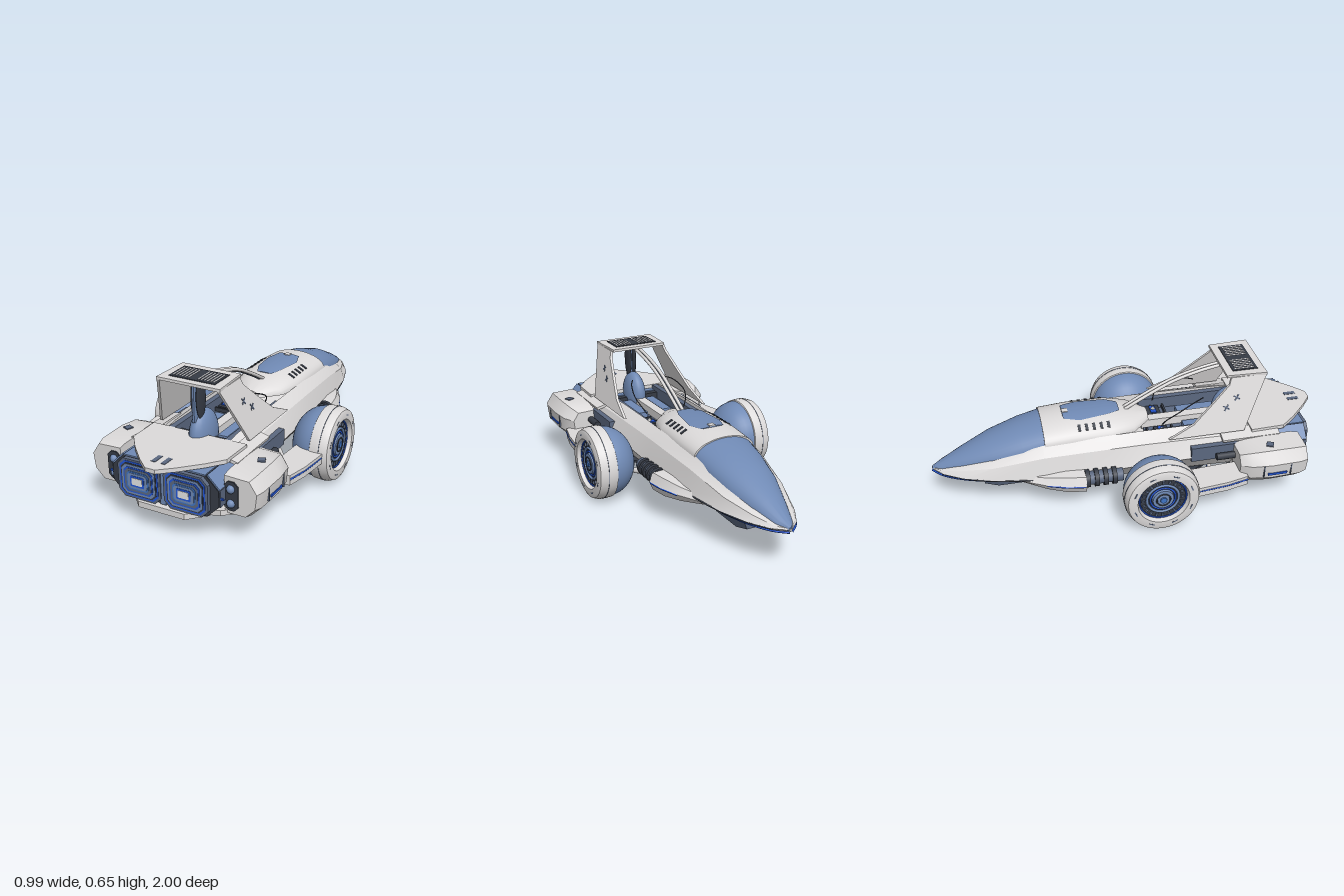
import * as THREE from 'three';
import { toCreasedNormals } from 'three/addons/utils/BufferGeometryUtils.js';

const mat = (name, color) => {
  const m = new THREE.MeshStandardMaterial({ color });
  m.name = name;
  return m;
};
const V = (x, y, z) => new THREE.Vector3(x, y, z);

// Skin a row of closed counter-clockwise [x, y] loops, ordered by rising z
function loft(rows, crease = 0.5) {
  const n = rows[0].pts.length, pos = [], idx = [];
  rows.forEach(r => r.pts.forEach(p => pos.push(p[0], p[1], r.z)));
  for (let i = 0; i < rows.length - 1; i++) for (let j = 0; j < n; j++) {
    const a = i * n + j, b = i * n + (j + 1) % n;
    idx.push(a, b, a + n, b, b + n, a + n);
  }
  const cap = (i, flip) => THREE.ShapeUtils.triangulateShape(rows[i].pts.map(p => new THREE.Vector2(...p)), [])
    .forEach(([a, b, c]) => idx.push(i * n + a, i * n + (flip ? c : b), i * n + (flip ? b : c)));
  cap(0, true);
  cap(rows.length - 1, false);
  const g = new THREE.BufferGeometry();
  g.setAttribute('position', new THREE.Float32BufferAttribute(pos, 3));
  g.setIndex(idx);
  return toCreasedNormals(g, crease);
}
const symmetric = half => [...half, ...half.slice().reverse().map(([x, y]) => [-x, y])];
// Elliptical arch, optionally only its crown of half width hw
function arch(w, base, top, hw = w, n = 20) {
  const a0 = Math.acos(hw / w);
  return Array.from({ length: n + 1 }, (_, i) => {
    const a = a0 + (Math.PI - 2 * a0) * i / n;
    return [w * Math.cos(a), base + (top - base) * Math.sin(a)];
  });
}
const extrude = (shape, depth) => new THREE.ExtrudeGeometry(shape, { depth, bevelEnabled: false, curveSegments: 12 });
const poly = pts => new THREE.Shape(pts.map(p => new THREE.Vector2(...p)));
// Horizontal plate from an [x, z] outline
const plate = (pts, y, h) => extrude(poly(pts.map(([x, z]) => [x, -z])), h).rotateX(-Math.PI / 2).translate(0, y, 0);
const octagon = (w, h, c) => [[-w + c, -h], [w - c, -h], [w, -h + c], [w, h - c], [w - c, h], [-w + c, h], [-w, h - c], [-w, -h + c]];
const tube = (pts, r, seg = 20) => new THREE.TubeGeometry(new THREE.CatmullRomCurve3(pts), seg, r, 8);
const box = (w, h, d, x, y, z) => new THREE.BoxGeometry(w, h, d).translate(x, y, z);
function mirrored(geo) {
  const g = geo.index ? geo.toNonIndexed() : geo.clone();
  for (const key of ['position', 'normal']) {
    const a = g.attributes[key];
    for (let i = 0; i < a.count; i += 3) {
      const v = [0, 2, 1].map(k => [-a.getX(i + k), a.getY(i + k), a.getZ(i + k)]);
      v.forEach((p, k) => a.setXYZ(i + k, ...p));
    }
  }
  return g;
}

export function createModel() {
  const group = new THREE.Group();
  const white = mat('hullGrey', 0xdddbdb), steel = mat('steelBlue', 0x708ab5), dark = mat('charcoal', 0x363b45);
  const blue = mat('brightBlue', 0x2457d6), slate = mat('slate', 0x5b6880), mid = mat('midBlue', 0x3f74c4), pale = mat('paleLight', 0xf0f0f0);
  const add = (name, geo, m) => {
    const mesh = new THREE.Mesh(geo, m);
    mesh.name = name;
    group.add(mesh);
  };
  const pair = (name, geo, m) => { add(name + 'Left', geo, m); add(name + 'Right', mirrored(geo), m); };

  // Hull: z, bottom width, bottom y, waist width, waist y, rim width, rim y, floor y
  const hull = [
    [-1, 0.003, 0.192, 0.006, 0.2, 0.003, 0.206, 0.204], [-0.95, 0.03, 0.178, 0.065, 0.2, 0.035, 0.215, 0.212],
    [-0.85, 0.07, 0.158, 0.125, 0.2, 0.07, 0.245, 0.24], [-0.7, 0.1, 0.142, 0.178, 0.2, 0.122, 0.288, 0.28],
    [-0.45, 0.13, 0.127, 0.225, 0.205, 0.157, 0.362, 0.355], [-0.1, 0.16, 0.117, 0.25, 0.225, 0.165, 0.378, 0.37],
    [0.05, 0.16, 0.115, 0.262, 0.24, 0.165, 0.38, 0.28], [0.3, 0.17, 0.115, 0.275, 0.25, 0.165, 0.378, 0.28],
    [0.55, 0.18, 0.115, 0.28, 0.25, 0.165, 0.37, 0.28], [0.7, 0.18, 0.115, 0.26, 0.25, 0.165, 0.345, 0.28]];
  add('hull', loft(hull.map(([z, wb, yb, w, ym, wi, yr, f]) => ({ z, pts: symmetric([
    [wb, yb], [w, ym], [w * 0.62 + wi * 0.38, ym * 0.3 + yr * 0.7], [wi, yr], [wi * 0.97, f]]) })), 0.3), white);
  // Dark groove and blue trim just under the waist
  pair('waistGroove', tube(hull.slice(1, 6).map(r => V(r[3] - 0.006, r[4] - 0.004, r[0])), 0.005, 30), dark);
  pair('noseTrim', tube(hull.slice(0, 4).map(r => V(r[3] * 0.92, r[4] - 0.012, r[0])), 0.005), blue);

  // Nose canopy and cowl
  const arches = rows => loft(rows.map(([z, ...a]) => ({ z, pts: arch(...a) })), 0.7);
  add('noseCanopy', arches([[-0.998, 0.01, 0.196, 0.212], [-0.95, 0.044, 0.2, 0.235], [-0.85, 0.08, 0.225, 0.288],
    [-0.7, 0.128, 0.265, 0.358], [-0.55, 0.152, 0.31, 0.405], [-0.43, 0.16, 0.345, 0.427]]), steel);
  add('cowl', arches([[-0.44, 0.163, 0.355, 0.43], [-0.3, 0.166, 0.36, 0.443], [-0.1, 0.166, 0.36, 0.443],
    [0.02, 0.135, 0.36, 0.42], [0.11, 0.05, 0.36, 0.392]]), white);
  add('cowlWindow', arches([[-0.33, 0.166, 0.36, 0.447, 0.06], [-0.25, 0.166, 0.36, 0.449, 0.085],
    [-0.1, 0.166, 0.36, 0.449, 0.066], [-0.04, 0.15, 0.36, 0.439, 0.04]]), steel);
  add('cowlMark', box(0.03, 0.006, 0.03, 0, 0.448, -0.315), white);
  for (let i = 0; i < 5; i++)
    pair('cowlVent' + i, new THREE.BoxGeometry(0.036, 0.006, 0.014).rotateZ(-0.5).translate(0.122, 0.416, -0.26 + i * 0.037), dark);

  // Cockpit interior
  add('cockpitFloor', box(0.32, 0.012, 0.56, 0, 0.29, 0.37), slate);
  add('cockpitSpine', box(0.05, 0.05, 0.5, 0, 0.315, 0.33), white);
  pair('cockpitWall', box(0.03, 0.08, 0.52, 0.15, 0.32, 0.36), slate);
  pair('seatBase', box(0.05, 0.03, 0.22, 0.07, 0.31, 0.4), steel);
  pair('console', box(0.08, 0.02, 0.07, 0.095, 0.306, 0.17), dark);
  pair('consoleKeys', box(0.06, 0.006, 0.03, 0.095, 0.318, 0.17), blue);
  pair('consoleLight', new THREE.OctahedronGeometry(0.014).translate(0.095, 0.325, 0.17), pale);
  for (let i = 0; i < 3; i++) pair('consoleBar' + i, box(0.08, 0.02, 0.01, 0.095, 0.31, 0.1 + i * 0.065), dark);
  add('headrest', new THREE.SphereGeometry(1, 24, 16).scale(0.055, 0.125, 0.1).translate(0, 0.345, 0.56), steel);
  pair('roofPost', new THREE.SphereGeometry(1, 12, 16).scale(0.011, 0.105, 0.04).translate(0.014, 0.54, 0.6), dark);
  add('postCore', box(0.01, 0.2, 0.06, 0, 0.53, 0.615), steel);
  pair('handleLoop', tube([V(0.09, 0.483, 0.385), V(0.125, 0.478, 0.32), V(0.146, 0.44, 0.23), V(0.13, 0.4, 0.185), V(0.11, 0.365, 0.17)], 0.003), dark);

  // Roll arch: leaning fins, roof with grille, and the spar to the cowl
  const finShape = poly([[0.17, 0.36], [0.56, 0.36], [0.61, 0.47], [0.685, 0.63], [0.5, 0.63], [0.49, 0.595], [0.4, 0.51], [0.3, 0.42]]);
  const fin = extrude(finShape, 0.014).rotateY(-Math.PI / 2);
  const fp = fin.attributes.position;
  const lean = y => 0.243 - 0.3 * (y - 0.36);
  for (let i = 0; i < fp.count; i++) fp.setX(i, fp.getX(i) + lean(fp.getY(i)));
  pair('archFin', toCreasedNormals(fin, 0.3), white);
  for (const [y, z] of [[0.53, 0.525], [0.485, 0.47]]) for (const a of [0.6, 2.17])
    pair('finCross', new THREE.BoxGeometry(0.006, 0.036, 0.007).rotateX(a).rotateZ(0.29).translate(lean(y) - 0.001, y, z), slate);
  add('roof', plate([[-0.165, 0.685], [0.165, 0.685], [0.155, 0.48], [-0.155, 0.48]], 0.626, 0.014), white);
  add('roofGrille', box(0.24, 0.005, 0.13, 0, 0.641, 0.585), dark);
  for (let i = 0; i < 6; i++) pair('roofSlat' + i, box(0.006, 0.004, 0.1, 0.025 + i * 0.016, 0.643, 0.585), white);
  const spar = x => [V(x, 0.622, 0.52), V(x, 0.6, 0.4), V(x, 0.555, 0.25), V(x, 0.48, 0.1), V(x, 0.405, -0.03)];
  pair('archSpar', tube(spar(0.012), 0.009), white);
  add('sparCore', tube(spar(0).map(p => p.setY(p.y - 0.008)), 0.006), slate);

  // Rear deck, lower lip and the angled webs under the nacelles
  add('rearDeck', plate(symmetric([[0.25, 0.6], [0.245, 0.77], [0.18, 0.85], [0.09, 0.94], [0.025, 0.995]]).reverse(), 0.342, 0.02), white);
  pair('deckEave', new THREE.BoxGeometry(0.08, 0.015, 0.3).rotateZ(-0.25).translate(0.24, 0.342, 0.59), white);
  pair('deckMark', box(0.022, 0.004, 0.06, 0.025, 0.362, 0.905), slate);
  add('lowerLip', plate(symmetric([[0.16, 0.5], [0.2, 0.58], [0.2, 0.85], [0.12, 0.93]]).reverse(), 0.112, 0.028), white);
  pair('lowerWeb', loft([[0.52, 0.24], [0.6, 0.33], [0.8, 0.33], [0.86, 0.26]].map(([z, w]) => ({
    z, pts: [[0.15, 0.112], [w, 0.135], [w, 0.16], [0.15, 0.14]] })), 0.3), white);

  // Twin engine block with nested glowing frames
  add('engineBlock', extrude(poly(octagon(0.275, 0.098, 0.06)), 0.355).translate(0, 0.235, 0.54), dark);
  add('engineTopPanel', box(0.42, 0.008, 0.32, 0, 0.334, 0.735), steel);
  pair('engineSlope', new THREE.BoxGeometry(0.085, 0.008, 0.2).rotateZ(-Math.PI / 4).translate(0.246, 0.306, 0.79), steel);
  pair('engineSide', box(0.02, 0.08, 0.2, 0.27, 0.235, 0.79), slate);
  add('engineDivider', box(0.03, 0.18, 0.02, 0, 0.235, 0.9), steel);
  pair('enginePlate', extrude(poly(octagon(0.112, 0.095, 0.032)), 0.025).translate(0.12, 0.235, 0.89), slate);
  [[0.1, 0.086, blue], [0.092, 0.078, dark], [0.086, 0.072, steel], [0.076, 0.062, blue], [0.069, 0.055, slate],
    [0.058, 0.044, mid], [0.051, 0.037, steel], [0.036, 0.026, blue], [0.027, 0.017, pale]].forEach(([w, h, m], i) =>
    pair('engineFrame' + i, extrude(poly(octagon(w, h, h * (i > 6 ? 0.12 : 0.3))), 0.006).translate(0.12, 0.235, 0.911 + i * 0.002), m));
  pair('engineAntenna', box(0.06, 0.008, 0.008, 0.265, 0.235, 0.885), blue);

  // Side nacelles
  const nacelle = [[0.27, 0.14], [0.38, 0.14], [0.43, 0.19], [0.44, 0.27], [0.4, 0.33], [0.27, 0.335]];
  pair('nacelle', loft([[0.5, 0.72], [0.55, 0.95], [0.65, 1.03], [0.8, 1], [0.84, 0.92]].map(([z, s]) => ({
    z, pts: nacelle.map(([x, y]) => [0.28 + (x - 0.28) * s, 0.235 + (y - 0.235) * s]) })), 0.5), white);
  pair('nacelleBack', extrude(poly(octagon(0.035, 0.07, 0.02)), 0.01).translate(0.305, 0.235, 0.836), dark);
  for (const y of [0.2, 0.27]) pair('thruster', new THREE.SphereGeometry(0.02, 12, 8).translate(0.305, y, 0.845), steel);
  pair('nacelleHatch', new THREE.BoxGeometry(0.035, 0.008, 0.035).rotateY(0.4).translate(0.355, 0.336, 0.66), slate);
  pair('nacelleStripe', box(0.006, 0.012, 0.1, 0.439, 0.215, 0.68), blue);
  for (const z of [0.61, 0.75]) pair('nacelleSeam', box(0.008, 0.07, 0.005, 0.437, 0.235, z), slate);

  // Fairings ahead of and behind the wheels
  pair('rearFairing', plate([[0.32, 0.2], [0.455, 0.2], [0.47, 0.27], [0.455, 0.42], [0.43, 0.53], [0.3, 0.53]], 0.165, 0.05), white);
  pair('rearFairingStripe', tube([V(0.467, 0.195, 0.27), V(0.452, 0.195, 0.42), V(0.429, 0.195, 0.53)], 0.005, 8), blue);
  pair('frontFairing', loft([[-0.56, 0.2, 0.02], [-0.45, 0.26, 0.035], [-0.35, 0.295, 0.045], [-0.26, 0.31, 0.045]].map(([z, w, h]) => ({
    z, pts: [[0.14, 0.19 - h], [w - 0.02, 0.19 - h], [w, 0.19], [w - 0.02, 0.19 + h], [0.14, 0.2 + h]] })), 0.4), white);
  pair('frontFairingStripe', tube([V(0.256, 0.187, -0.45), V(0.291, 0.187, -0.35), V(0.306, 0.187, -0.265)], 0.005, 8), blue);
  pair('sidePanel', box(0.03, 0.08, 0.24, 0.262, 0.27, 0.4), slate);
  pair('sidePipe', new THREE.CylinderGeometry(0.018, 0.018, 0.13, 10).rotateX(Math.PI / 2).translate(0.295, 0.255, 0.47), dark);

  // Ribbed suspension
  pair('suspensionCore', new THREE.CylinderGeometry(0.035, 0.035, 0.2, 14).rotateX(Math.PI / 2).translate(0.255, 0.2, -0.17), slate);
  for (let i = 0; i < 4; i++)
    pair('suspensionRib' + i, new THREE.CylinderGeometry(0.046, 0.046, 0.022, 14).rotateX(Math.PI / 2).translate(0.255, 0.2, -0.25 + i * 0.045), dark);

  // Wheels: inner dome, outer barrel and lit hub, all turned about the axle
  const place = g => g.translate(0.4, 0.188, 0.083);
  const lathe = pts => place(toCreasedNormals(new THREE.LatheGeometry(pts.map(p => new THREE.Vector2(...p)), 40), 0.5).rotateZ(-Math.PI / 2));
  pair('wheelDome', lathe(Array.from({ length: 13 }, (_, i) => {
    const a = Math.PI / 2 * i / 12;
    return [0.18 * Math.sin(a) + 0.0005, -0.15 * Math.cos(a)];
  })), steel);
  pair('wheelBarrel', lathe([[0.172, -0.005], [0.186, 0.002], [0.188, 0.03], [0.186, 0.065], [0.176, 0.09], [0.165, 0.095], [0.13, 0.095], [0.122, 0.07]]), white);
  pair('wheelSeam', lathe([[0.185, 0.047], [0.1885, 0.048], [0.1885, 0.05], [0.185, 0.051]]), slate);
  pair('hubDisc', lathe([[0.126, 0.06], [0.126, 0.07], [0.0005, 0.07]]), dark);
  pair('hubCap', lathe([[0.055, 0.07], [0.052, 0.082], [0.0005, 0.086]]), steel);
  pair('hubCentre', lathe([[0.018, 0.082], [0.016, 0.09], [0.0005, 0.09]]), mid);
  [[0.118, 0.004, blue], [0.08, 0.007, steel], [0.063, 0.005, blue], [0.034, 0.004, dark]].forEach(([r, t, m], i) =>
    pair('hubRing' + i, place(new THREE.TorusGeometry(r, t, 6, 32).rotateY(Math.PI / 2).translate(i === 3 ? 0.084 : 0.073, 0, 0)), m));
  for (let i = 0; i < 20; i++)
    pair('hubSpoke' + i, place(new THREE.BoxGeometry(0.012, 0.018, 0.01).translate(0.072, 0.1, 0).rotateX(i * Math.PI / 10)), slate);
  for (let i = 0; i < 8; i++)
    pair('rimNotch' + i, place(new THREE.BoxGeometry(0.004, 0.006, 0.03).translate(0.094, 0.15, 0).rotateX((i + 0.5) * Math.PI / 4)), slate);

  // Underside: belly plate, nose box, sensor disc and hanging ring
  add('bellyPlate', loft([[-0.42, 0.11, 0.12], [-0.1, 0.15, 0.112], [0.52, 0.165, 0.11]].map(([z, w, y]) => ({
    z, pts: symmetric([[w, y], [w, y + 0.015]]) }))), dark);
  pair('bellyPanel', box(0.08, 0.006, 0.14, 0.06, 0.111, -0.12), slate);
  add('noseBox', loft([[-0.75, 0.06, 0.1], [-0.68, 0.075, 0.085], [-0.5, 0.075, 0.085], [-0.47, 0.07, 0.1]].map(([z, w, y]) => ({
    z, pts: symmetric([[w, y], [w + 0.02, 0.15]]) })), 0.2), slate);
  add('noseBoxBase', box(0.14, 0.006, 0.17, 0, 0.085, -0.59), dark);
  [[0.2, dark], [0.11, slate], [0.09, dark], [0.065, mid], [0.035, dark]].forEach(([r, m], i) =>
    add('sensorDisc' + i, new THREE.CylinderGeometry(r, r, 0.012, 32).translate(0, 0.102 - i * 0.004, 0.26), m));
  const ring = (r, t, y) => new THREE.TorusGeometry(r, t, 8, 48).scale(1, 1, 1.3).rotateX(Math.PI / 2 + 0.14).translate(0, y, 0.24);
  add('skidRing', ring(0.222, 0.012, 0.054), white);
  add('skidRingGlow', ring(0.211, 0.003, 0.056), blue);
  pair('skidArm', tube([V(0.155, 0.035, 0.41), V(0.17, 0.06, 0.46), V(0.18, 0.12, 0.54)], 0.011, 10), dark);
  return group;
}
